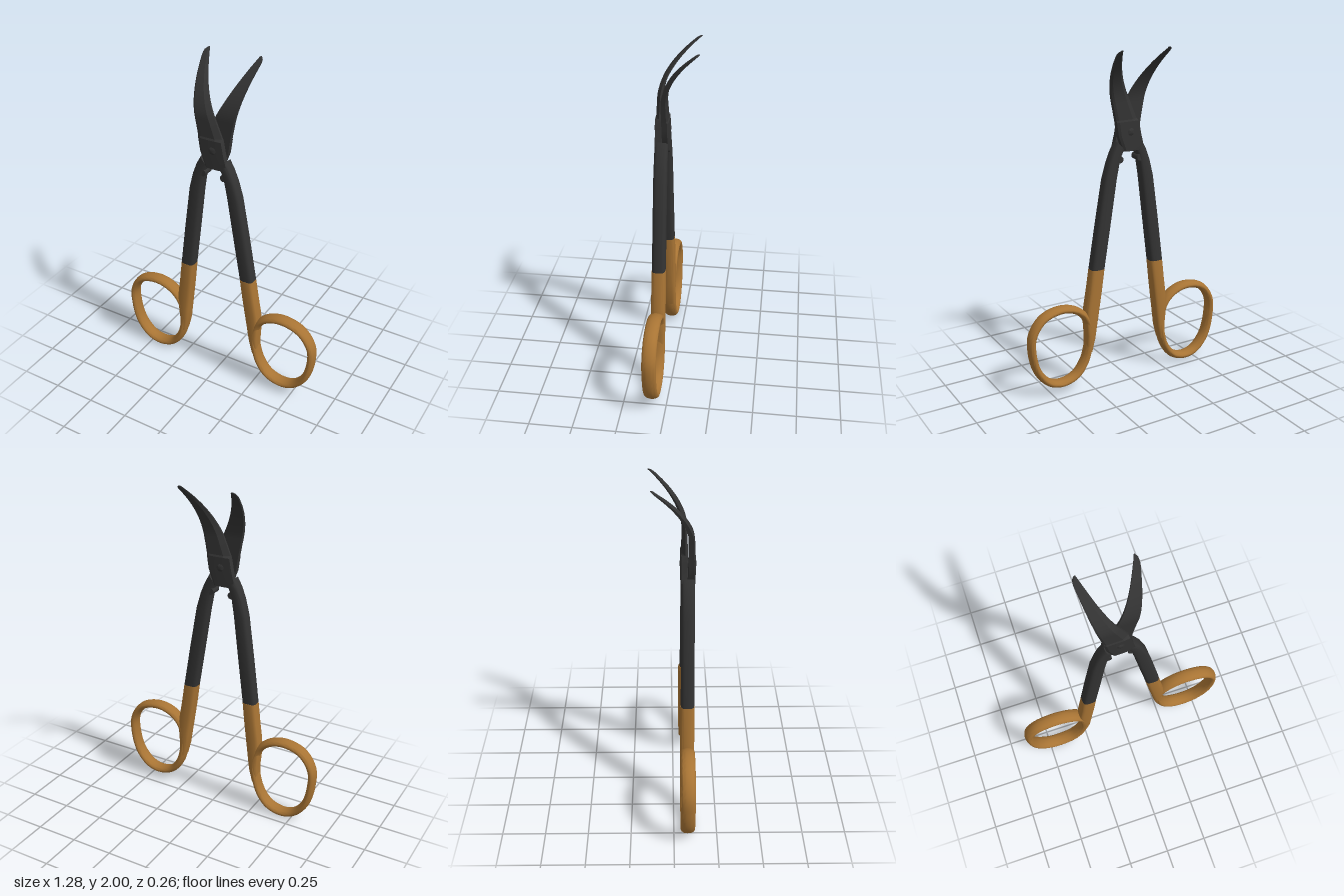
import * as THREE from 'three';
import { toCreasedNormals } from 'three/addons/utils/BufferGeometryUtils.js';

const STEEL = new THREE.MeshStandardMaterial({ color: 0x333333 });
const GOLD = new THREE.MeshStandardMaterial({ color: 0xa87434 });
const MID_Z = 0.08; // plane where the two halves meet

// Skin a list of equal-length point loops and close both ends
function loft(loops) {
  const n = loops[0].length, pos = [], index = [];
  loops.forEach(loop => loop.forEach(p => pos.push(...p)));
  for (let r = 0; r < loops.length - 1; r++) {
    for (let i = 0; i < n; i++) {
      const a = r * n + i, b = r * n + (i + 1) % n;
      index.push(a, b, a + n, b, b + n, a + n);
    }
  }
  [0, loops.length - 1].forEach(r => {
    const c = pos.length / 3;
    pos.push(...[0, 1, 2].map(k => loops[r].reduce((s, p) => s + p[k], 0) / n));
    for (let i = 0; i < n; i++) {
      const a = r * n + i, b = r * n + (i + 1) % n;
      index.push(...(r ? [a, b, c] : [b, a, c]));
    }
  });
  // Turn the faces outward if the enclosed volume is negative
  const v = index.map(i => new THREE.Vector3().fromArray(pos, i * 3));
  let volume = 0;
  for (let i = 0; i < v.length; i += 3) volume += v[i].dot(v[i + 1].clone().cross(v[i + 2]));
  if (volume < 0) index.reverse();
  const g = new THREE.BufferGeometry();
  g.setAttribute('position', new THREE.Float32BufferAttribute(pos, 3));
  g.setIndex(index);
  return g;
}

// Value at y on a table of [y, value]
function lerpTable(table, y) {
  let i = 1;
  while (i < table.length - 1 && y > table[i][0]) i++;
  const [y0, a] = table[i - 1], [y1, b] = table[i];
  return THREE.MathUtils.mapLinear(y, y0, y1, a, b);
}

// Rounded bar through rows of [inner x, inner y, outer x, outer y, half depth]
function bar(rows) {
  const soft = c => Math.sign(c) * Math.abs(c) ** 0.6;
  return loft(rows.map(([ax, ay, bx, by, hz]) => Array.from({ length: 20 }, (_, i) => {
    const t = i / 20 * Math.PI * 2, u = soft(Math.cos(t)) / 2;
    return [(ax + bx) / 2 + (bx - ax) * u, (ay + by) / 2 + (by - ay) * u, MID_Z + hz * soft(Math.sin(t))];
  })));
}

// Blade with a flat inner face, a thick spine and a thin cutting edge
function bladeGeometry() {
  const spine = [[1.41, -0.065], [1.44, -0.078], [1.5, -0.1], [1.6, -0.115], [1.7, -0.135],
    [1.85, -0.168], [1.975, -0.195], [1.99, -0.192], [2, -0.18]];
  const edge = [[1.41, 0.04], [1.44, 0.06], [1.5, 0.045], [1.58, 0.03], [1.7, -0.02],
    [1.85, -0.095], [1.95, -0.145], [1.985, -0.164], [2, -0.172]];
  const depth = [[1.41, 0.038], [1.58, 0.038], [1.59, 0.033], [1.72, 0.031], [2, 0.012]];
  const ys = [1.41, 1.44, 1.5, 1.54, 1.58, 1.59, 1.64];
  for (let i = 0; i <= 20; i++) ys.push(1.68 + 0.29 * i / 20);
  ys.push(1.98, 1.99, 2);
  return loft(ys.map(y => {
    const s = lerpTable(spine, y), e = lerpTable(edge, y), d = lerpTable(depth, y);
    const thin = y < 1.585 ? 0.85 : 0.35;
    const at = (u, w) => [s + (e - s) * u, y, MID_Z + 0.003 + d * w];
    return [at(0, 0), at(1, 0), at(1, thin), at(0.75, 0.95), at(0.4, 1), at(0.1, 1), at(0, 0.8)];
  }));
}

// Finger ring, a tube deepened in z
function ringGeometry() {
  const pts = [[0.43, 0.522], [0.54, 0.49], [0.607, 0.4], [0.614, 0.29], [0.58, 0.16], [0.51, 0.08],
    [0.43, 0.058], [0.34, 0.085], [0.28, 0.16], [0.25, 0.26], [0.242, 0.36], [0.275, 0.45], [0.34, 0.503]];
  const path = new THREE.CatmullRomCurve3(pts.map(p => new THREE.Vector3(p[0], p[1], 0)), true);
  return new THREE.TubeGeometry(path, 96, 0.022, 24, true).scale(1, 1, 1.85).translate(0, 0, MID_Z);
}

// Small stop that limits closing
function stopGeometry() {
  return new THREE.CylinderGeometry(0.02, 0.02, 0.066, 20).rotateX(Math.PI / 2).translate(0.042, 1.365, MID_Z);
}

// Turn a part to the other half if asked, then bend the blades backward
function place(geometry, other) {
  const p = geometry.attributes.position;
  for (let i = 0; i < p.count; i++) {
    let x = p.getX(i), y = p.getY(i), z = p.getZ(i);
    if (other) {
      x = -x - 0.005 - 0.043 * THREE.MathUtils.clamp((y - 0.3) / 1.1, 0, 1);
      z = 2 * MID_Z - z;
      y += 0.035 * Math.min(0, y - 1.4) / 1.36;
    }
    const t = Math.max(0, (y - 1.69) / 0.31);
    p.setXYZ(i, x, y, z - 0.2 * t ** 1.9);
  }
  return geometry;
}

function half(other) {
  const group = new THREE.Group();
  group.name = other ? 'backHalf' : 'frontHalf';
  const add = (name, geometry, material, crease = 0.7) => {
    const mesh = new THREE.Mesh(toCreasedNormals(place(geometry, other), crease), material);
    mesh.name = name;
    group.add(mesh);
  };
  add('blade', bladeGeometry(), STEEL, 0.3);
  add('shank', bar([
    [0.012, 1.415, 0.055, 1.465, 0.037], [0.028, 1.385, 0.085, 1.41, 0.037], [0.042, 1.34, 0.112, 1.345, 0.037],
    [0.06, 1.25, 0.14, 1.25, 0.038], [0.1, 1, 0.185, 1, 0.038], [0.145, 0.73, 0.23, 0.73, 0.039]]), STEEL);
  add('stop', stopGeometry(), STEEL);
  add('grip', bar([
    [0.145, 0.73, 0.23, 0.73, 0.04], [0.164, 0.6, 0.25, 0.6, 0.041], [0.18, 0.5, 0.268, 0.5, 0.041],
    [0.2, 0.38, 0.275, 0.43, 0.041], [0.214, 0.3, 0.268, 0.33, 0.04], [0.235, 0.22, 0.27, 0.23, 0.035]]), GOLD);
  add('fingerRing', ringGeometry(), GOLD, 1);
  return group;
}

export function createModel() {
  const model = new THREE.Group();
  model.name = 'curvedScissors';
  model.add(half(false), half(true));

  // Pivot screw with a low dome on each face
  const profile = [[0, -0.047], [0.014, -0.045], [0.023, -0.039], [0.023, 0.039], [0.014, 0.045], [0, 0.047]];
  const screw = new THREE.Mesh(toCreasedNormals(
    new THREE.LatheGeometry(profile.map(p => new THREE.Vector2(...p)), 28), 0.7), STEEL);
  screw.name = 'pivotScrew';
  screw.rotation.x = Math.PI / 2;
  screw.position.set(-0.023, 1.52, MID_Z);
  model.add(screw);
  return model;
}
